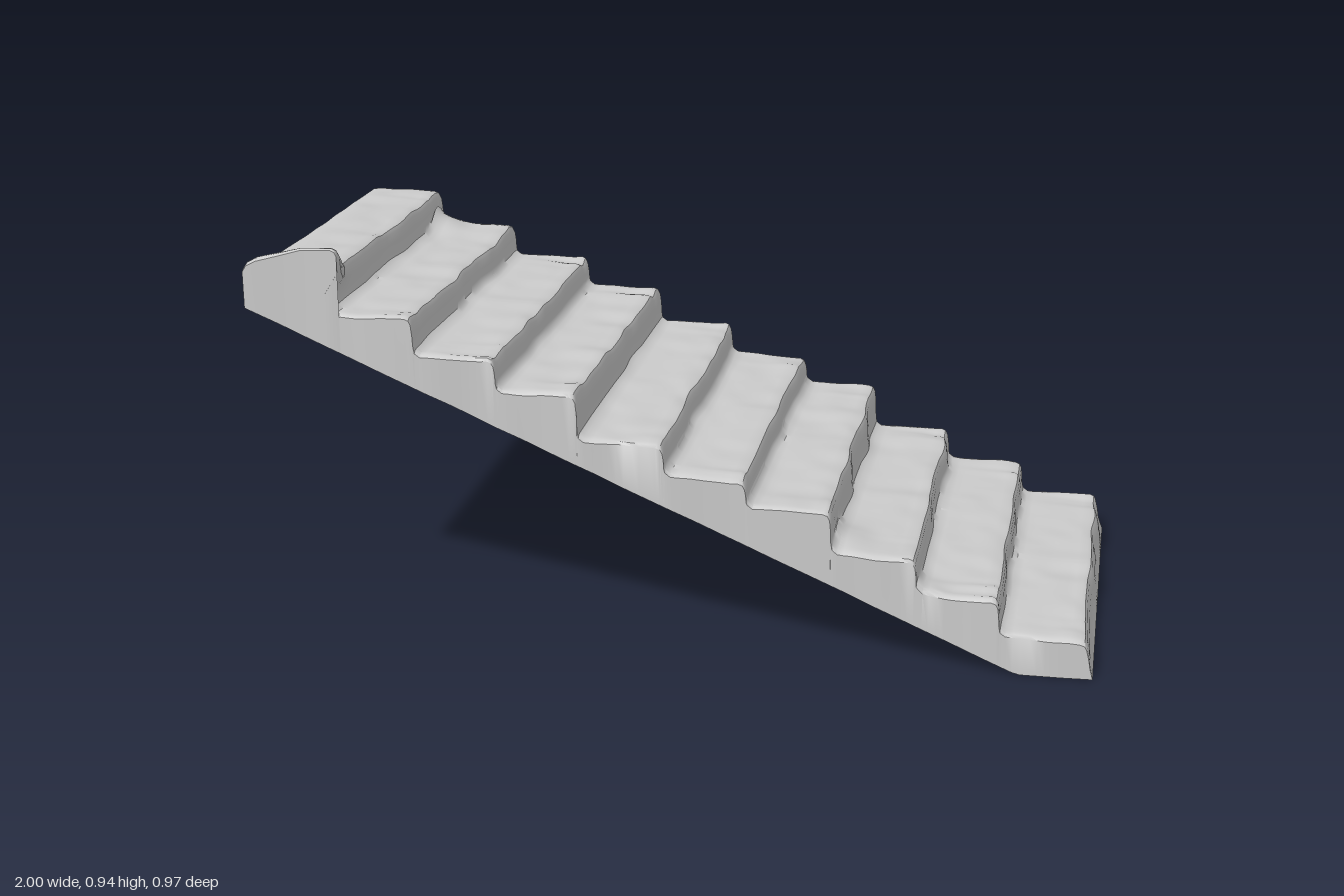
import * as THREE from 'three';
import { toCreasedNormals } from 'three/addons/utils/BufferGeometryUtils.js';

// Smooth seeded value noise in -1..1
const hash = (i, j) => {
  const s = Math.sin(i * 127.1 + j * 311.7) * 43758.5453;
  return (s - Math.floor(s)) * 2 - 1;
};
const ease = t => t * t * (3 - 2 * t);
function noise(x, y) {
  const i = Math.floor(x), j = Math.floor(y), u = ease(x - i), v = ease(y - j);
  const low = hash(i, j) * (1 - u) + hash(i + 1, j) * u;
  const high = hash(i, j + 1) * (1 - u) + hash(i + 1, j + 1) * u;
  return low * (1 - v) + high * v;
}
const bell = (d, w) => Math.exp(-(d * d) / (w * w));

// Step edges along x, and tread heights at the back and front side
const edges = [-1, -0.8, -0.6, -0.4, -0.205, -0.005, 0.19, 0.385, 0.585, 0.78, 0.985];
const treads = [
  [0.853, 0.865], [0.763, 0.776], [0.685, 0.69], [0.61, 0.614], [0.518, 0.507],
  [0.442, 0.435], [0.368, 0.368], [0.255, 0.265], [0.176, 0.177], [0.092, 0.095],
];

// Sloping lower edge of the side walls, levelling out at the foot
const underside = x => Math.max(0, 0.785 - 0.43 * (x + 1));

// Cross-section of the stairs at side position t (-1 back .. 1 front)
function section(t) {
  const z = t * 0.475, pts = [], side = Math.max(0, Math.abs(t) - 0.7) / 0.3;
  pts.push([-1, underside(-1)]);
  treads.forEach(([back, front], i) => {
    const x0 = edges[i], x1 = edges[i + 1];
    const h = back + (front - back) * (t + 1) / 2;
    const next = i < 9 ? treads[i + 1][0] + (treads[i + 1][1] - treads[i + 1][0]) * (t + 1) / 2 : 0;
    const wob = 0.006 * noise(z * 9, i * 7.3);
    const prevWob = i ? 0.006 * noise(z * 9, (i - 1) * 7.3) : 0;
    // worn lip, rougher near both sides
    const lip = 0.004 * noise(z * 14, i * 3.7 + 50) + side * 0.012 * (0.3 + noise(z * 30, i * 5.1));
    const knob = i === 0 ? bell(0.475 - z, 0.1) : 0;
    // rubble heaped against two of the risers
    const heap = i === 1 ? 0.045 * bell(z + 0.41, 0.06)
      : i === 7 ? 0.028 * bell(z - 0.38, 0.08) : i === 8 ? 0.015 * bell(z - 0.45, 0.06) : 0;
    const top = (x, k) => h + 0.003 * noise(x * 18, z * 14) + lip * k
      + knob * (0.03 + 0.035 * Math.min(1, (x + 1) / 0.14));
    if (i === 0) pts.push([-1, top(-1, 0) - 0.015], [-0.99, top(-1, 0)]);
    else pts.push([x0 + 0.004 + prevWob, h + 0.014 + heap], [x0 + 0.016 + prevWob, h + 0.005 + heap * 0.8]);
    for (let k = 1; k < 9; k++) {
      const x = x0 + 0.016 + (x1 - x0 - 0.036) * k / 9;
      pts.push([x, top(x, k / 9) + heap * bell(k / 9, 0.3) * 0.7 + 0.004 * (1 - k / 9)]);
    }
    const e = x1 + wob, y = top(x1, 1), o = knob * 0.03;
    pts.push([e - 0.018 + o, y], [e - 0.008 + o, y - 0.004], [e - 0.003 + o, y - 0.014]);
    // riser
    const d = y - 0.014 - next;
    if (i < 9) {
      pts.push([e + o * 0.8, next + d * 0.7], [e + 0.001 - o * 0.2, next + d * 0.4]);
    } else {
      pts.push([e + 0.003, d * 0.7], [e + 0.007, d * 0.4], [1, 0]);
    }
  });
  return pts;
}

// Open-bottomed shell: stepped surface with a skirt down each side
function stairGeometry() {
  const cols = [-1, -0.985, -0.965];
  for (let k = 1; k < 80; k++) cols.push(-0.965 + 1.93 * k / 80);
  cols.push(0.965, 0.985, 1);
  const place = (x, y, t) => {
    const u = (x + 1) / 2;
    const back = -0.463 - 0.022 * u, front = 0.485 - 0.01 * u;
    const rough = Math.abs(t) > 0.99 ? 0.003 * noise(x * 12, y * 12 + t) : 0;
    return [x, y, back + (front - back) * (t + 1) / 2 + rough];
  };
  const lines = cols.map(t => {
    const drop = Math.abs(t) === 1 ? 0.008 : Math.abs(t) > 0.98 ? 0.002 : 0;
    return section(t).map(([x, y]) => place(x, Math.max(y - drop, underside(x)), t));
  });
  const skirt = (line, t) => line.map(([x]) => place(x, underside(x), t));
  lines.unshift(skirt(lines[0], -1));
  lines.push(skirt(lines[lines.length - 1], 1));

  const n = lines[0].length, index = [];
  for (let j = 0; j < lines.length - 1; j++) {
    for (let i = 0; i < n - 1; i++) {
      const a = j * n + i, b = a + n;
      index.push(a, b, b + 1, a, b + 1, a + 1);
    }
  }
  const geo = new THREE.BufferGeometry();
  geo.setAttribute('position', new THREE.Float32BufferAttribute(lines.flat(2), 3));
  geo.setIndex(index);
  return toCreasedNormals(geo, 0.7);
}

export function createModel() {
  const group = new THREE.Group();
  group.name = 'stoneStaircase';
  const stone = new THREE.MeshStandardMaterial({ color: 0xcccccc, side: THREE.DoubleSide });
  const stairs = new THREE.Mesh(stairGeometry(), stone);
  stairs.name = 'wornSteps';
  group.add(stairs);
  return group;
}
